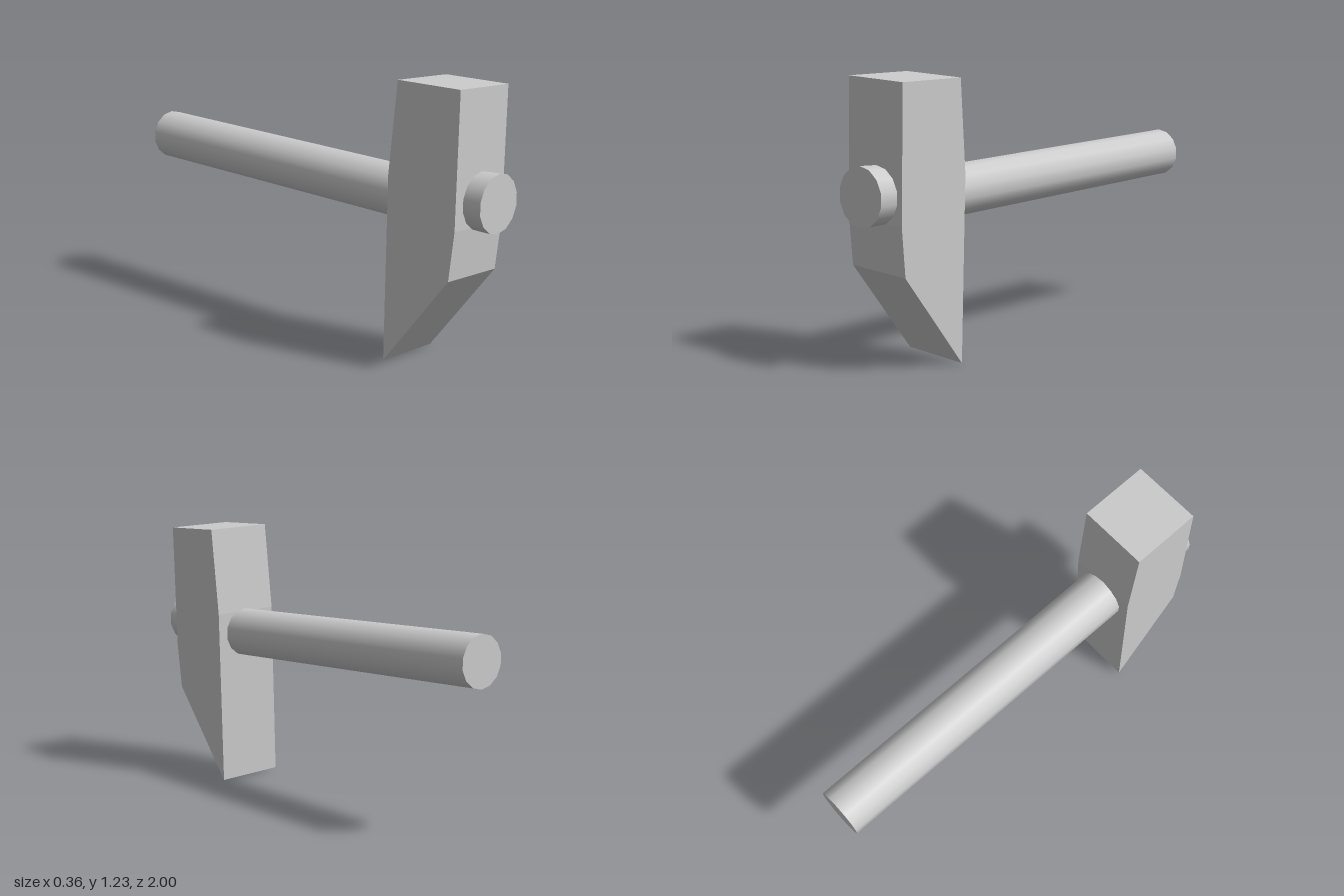
import * as THREE from 'three';

const material = new THREE.MeshStandardMaterial({ color: 0xcccccc });

// Round rod along z between two centres, with ends cut square to z
function rod(name, from, to, rFrom, rTo) {
  const [x0, y0, z0] = from, [x1, y1, z1] = to;
  const geo = new THREE.CylinderGeometry(rTo, rFrom, z1 - z0, 14);
  geo.rotateX(Math.PI / 2);
  const p = geo.attributes.position;
  for (let i = 0; i < p.count; i++) {
    const t = p.getZ(i) / (z1 - z0) + 0.5;
    p.setXYZ(i,
      p.getX(i) + x0 + (x1 - x0) * t,
      p.getY(i) + y0 + (y1 - y0) * t,
      p.getZ(i) + (z0 + z1) / 2);
  }
  const mesh = new THREE.Mesh(geo, material);
  mesh.name = name;
  return mesh;
}

// Wedge-ended head: side profile (z, y) extruded across x, then leaned slightly
function hammerHead() {
  const width = 0.32;
  const profile = [
    [0.56, 0.008], [0.89, 0.427], [0.912, 0.64], [0.912, 1.218],
    [0.59, 1.222], [0.555, 0.82],
  ].map(([z, y]) => new THREE.Vector2(-z, y));
  const geo = new THREE.ExtrudeGeometry(new THREE.Shape(profile), { depth: width, bevelEnabled: false });
  geo.translate(0, 0, -width / 2);
  geo.rotateY(Math.PI / 2);
  const p = geo.attributes.position;
  for (let i = 0; i < p.count; i++) {
    const x = p.getX(i), y = p.getY(i);
    p.setXY(i, x - 0.02 + 0.029 * y, y - 0.045 * x);
  }
  geo.computeVertexNormals();
  const mesh = new THREE.Mesh(geo, material);
  mesh.name = 'hammerHead';
  return mesh;
}

export function createModel() {
  const model = new THREE.Group();
  model.name = 'hammer';
  model.add(
    hammerHead(),
    rod('handle', [0.003, 0.761, -1], [0.003, 0.716, 0.62], 0.113, 0.114),
    rod('handleTip', [0.012, 0.746, 0.85], [0.012, 0.748, 1], 0.122, 0.127),
  );
  return model;
}
